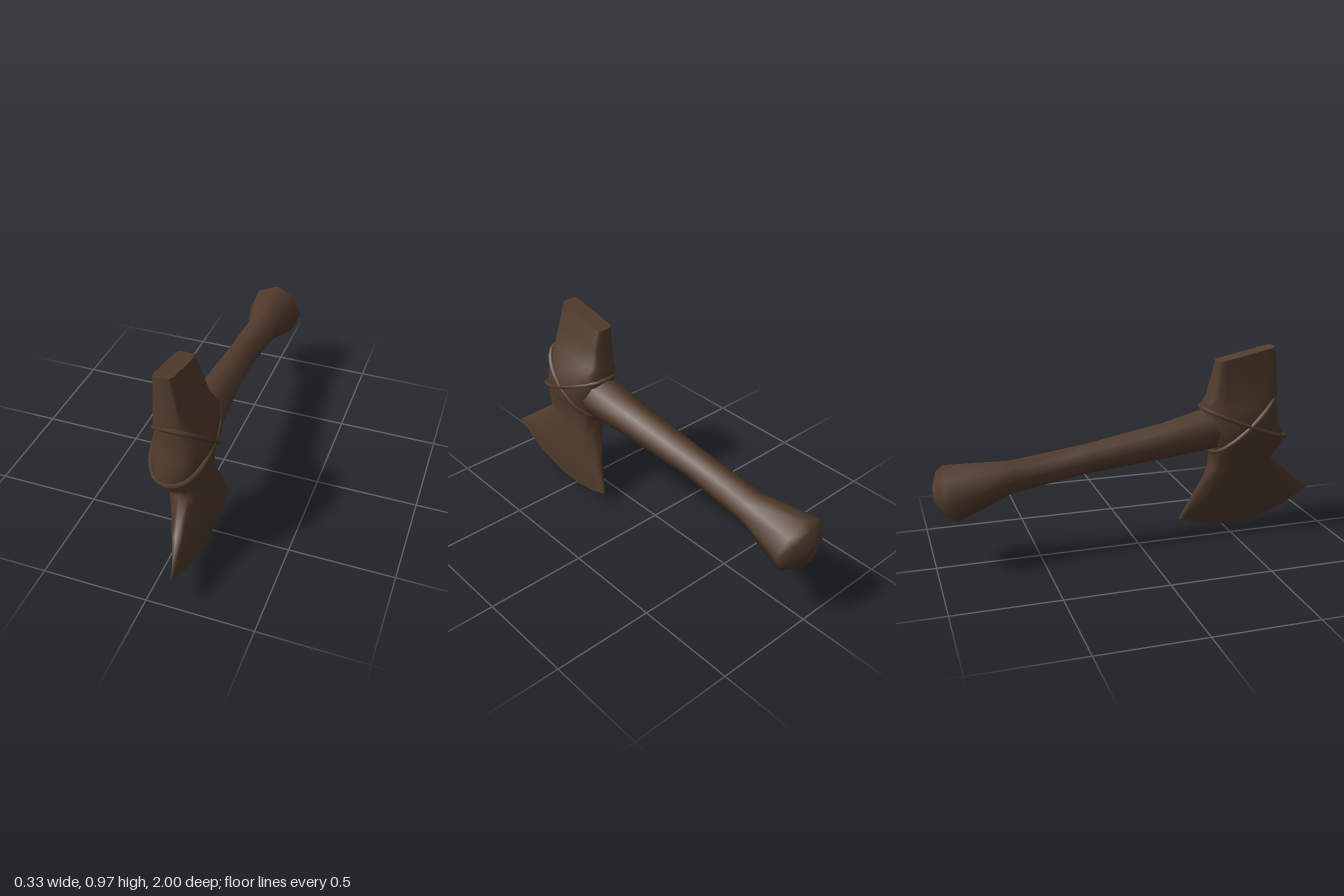
import * as THREE from 'three';

const wood = new THREE.MeshStandardMaterial({ color: 0x523c2d });
wood.name = 'dark brown';

// Skin a list of equal-length rings with smooth sides and crisp flat end caps.
function loft(name, rings) {
  const n = rings[0].length, pos = [], idx = [];
  rings.forEach(r => r.forEach(p => pos.push(...p)));
  for (let i = 0; i < rings.length - 1; i++) {
    for (let j = 0; j < n; j++) {
      const a = i * n + j, b = i * n + (j + 1) % n;
      idx.push(a, b, a + n, b, b + n, a + n);
    }
  }
  [rings[0], rings[rings.length - 1]].forEach((r, end) => {
    const base = pos.length / 3;
    r.forEach(p => pos.push(...p));
    pos.push(...[0, 1, 2].map(k => r.reduce((s, p) => s + p[k], 0) / n));
    for (let j = 0; j < n; j++) {
      const a = base + j, b = base + (j + 1) % n;
      idx.push(...(end ? [a, b, base + n] : [b, a, base + n]));
    }
  });
  // Turn the faces outwards if the enclosed volume comes out negative.
  const v = i => new THREE.Vector3(pos[3 * i], pos[3 * i + 1], pos[3 * i + 2]);
  let volume = 0;
  for (let i = 0; i < idx.length; i += 3) volume += v(idx[i]).dot(v(idx[i + 1]).cross(v(idx[i + 2])));
  if (volume < 0) idx.reverse();
  const geo = new THREE.BufferGeometry();
  geo.setAttribute('position', new THREE.Float32BufferAttribute(pos, 3));
  geo.setIndex(idx);
  geo.computeVertexNormals();
  const mesh = new THREE.Mesh(geo, wood);
  mesh.name = name;
  return mesh;
}

const squash = (v, e) => Math.sign(v) * Math.pow(Math.abs(v), e);

// Head section: back and front points, a downward bow, x range, and squareness.
function headRing([zb, yb, zf, yf, bow, xl, xr, e]) {
  return Array.from({ length: 16 }, (_, j) => {
    const a = j / 16 * Math.PI * 2;
    const c = squash(Math.cos(a), e), s = squash(Math.sin(a), e);
    const t = (c + 1) / 2;
    return [
      (xl + xr) / 2 + (xr - xl) / 2 * s,
      yb + (yf - yb) * t - bow * (1 - c * c),
      zb + (zf - zb) * t,
    ];
  });
}

// Handle section: z at top and bottom, y range and x range.
function handleRing([zTop, zLow, yLow, yTop, xl, xr]) {
  return Array.from({ length: 8 }, (_, j) => {
    const a = j / 8 * Math.PI * 2, c = Math.cos(a), t = (c + 1) / 2;
    return [
      (xl + xr) / 2 + (xr - xl) / 2 * Math.sin(a),
      yLow + (yTop - yLow) * t,
      zLow + (zTop - zLow) * t,
    ];
  });
}

// Thin cord looped diagonally around the head.
function cord(name, zb, yb, zf, yf) {
  const pts = Array.from({ length: 16 }, (_, j) => {
    const a = j / 16 * Math.PI * 2, t = (Math.cos(a) + 1) / 2;
    return new THREE.Vector3(
      0.025 + 0.132 * squash(Math.sin(a), 0.85), yb + (yf - yb) * t, zb + (zf - zb) * t);
  });
  const curve = new THREE.CatmullRomCurve3(pts, true);
  const mesh = new THREE.Mesh(new THREE.TubeGeometry(curve, 32, 0.012, 5, true), wood);
  mesh.name = name;
  return mesh;
}

export function createModel() {
  const group = new THREE.Group();
  group.name = 'axe';

  // Poll, swollen middle and curved blade in one skin
  group.add(loft('axeHead', [
    [0.39, 0.92, 0.685, 0.98, 0, -0.07, 0.02, 0.3],
    [0.38, 0.83, 0.70, 0.86, 0, -0.073, 0.053, 0.35],
    [0.36, 0.73, 0.715, 0.76, 0, -0.08, 0.09, 0.5],
    [0.335, 0.68, 0.725, 0.69, 0, -0.095, 0.145, 0.75],
    [0.345, 0.59, 0.735, 0.60, 0, -0.113, 0.165, 0.85],
    [0.37, 0.49, 0.775, 0.51, 0, -0.095, 0.14, 0.8],
    [0.39, 0.43, 0.755, 0.45, 0, -0.06, 0.13, 0.7],
    [0.39, 0.35, 0.72, 0.39, 0.02, -0.025, 0.13, 0.7],
    [0.325, 0.21, 0.86, 0.28, 0.07, 0.035, 0.147, 0.85],
    [0.255, 0.06, 1.0, 0.17, 0.105, 0.118, 0.124, 0.9],
  ].map(headRing)));

  // Handle flaring into a rounded knob
  group.add(loft('handle', [
    [0.6, 0.6, 0.48, 0.70, -0.06, 0.12],
    [0.33, 0.36, 0.455, 0.67, -0.08, 0.13],
    [0.13, 0.13, 0.437, 0.622, -0.078, 0.10],
    [-0.29, -0.27, 0.405, 0.552, -0.08, 0.067],
    [-0.64, -0.63, 0.345, 0.51, -0.092, 0.07],
    [-0.94, -0.89, 0.235, 0.522, -0.167, 0.125],
    [-0.975, -0.95, 0.275, 0.495, -0.12, 0.085],
    [-0.995, -0.99, 0.34, 0.42, -0.055, 0.02],
  ].map(handleRing)));

  // Crossed lashing over the joint
  group.add(cord('lowerLashing', 0.335, 0.68, 0.785, 0.50));
  group.add(cord('upperLashing', 0.385, 0.45, 0.715, 0.745));
  return group;
}
